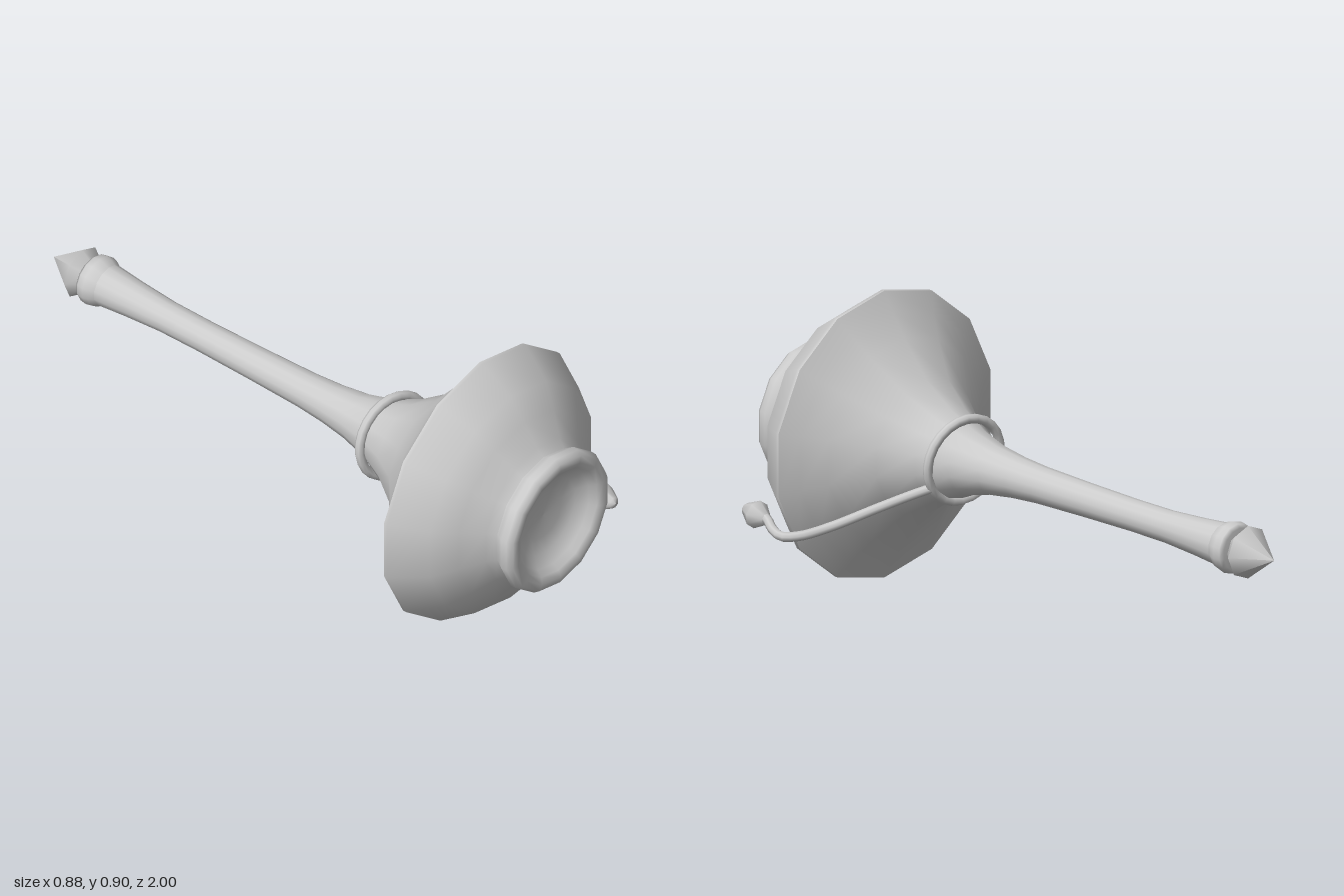
import * as THREE from 'three';

const AXIS_Y = 0.455; // height of the bottle's axis
const material = new THREE.MeshStandardMaterial({ color: 0xcccccc, side: THREE.DoubleSide });

// Revolves a [radius, z] profile, listed from front to back, about the z axis
function spin(name, profile, sides) {
  const points = profile.map(([r, z]) => new THREE.Vector2(r, -z));
  const geometry = new THREE.LatheGeometry(points, sides);
  geometry.rotateX(-Math.PI / 2);
  const mesh = new THREE.Mesh(geometry, material);
  mesh.name = name;
  mesh.position.y = AXIS_Y;
  return mesh;
}

function cord(name, points, closed, segments, radius) {
  const curve = new THREE.CatmullRomCurve3(points, closed);
  const mesh = new THREE.Mesh(new THREE.TubeGeometry(curve, segments, radius, 8, closed), material);
  mesh.name = name;
  return mesh;
}

export function createModel() {
  const model = new THREE.Group();
  model.name = 'bottle';

  // Foot with a hollow underside, rising to the widest edge
  model.add(spin('foot', [
    [0, 0.93], [0.08, 0.932], [0.13, 0.945], [0.165, 0.97], [0.18, 0.99], [0.2, 1],
    [0.222, 0.997], [0.234, 0.98], [0.235, 0.96], [0.222, 0.94], [0.217, 0.93],
  ], 14));
  model.add(spin('lowerBody', [
    [0.217, 0.93], [0.24, 0.905], [0.31, 0.855], [0.38, 0.8], [0.452, 0.692], [0.452, 0.68],
  ], 14));

  // Shoulder sweeping into the long neck and its lip
  model.add(spin('shoulderAndNeck', [
    [0.452, 0.68], [0.392, 0.645], [0.322, 0.595], [0.213, 0.5], [0.147, 0.4], [0.103, 0.3],
    [0.077, 0.2], [0.064, 0.1], [0.057, 0], [0.052, -0.2], [0.049, -0.4], [0.05, -0.55],
    [0.058, -0.68], [0.067, -0.785],
  ], 14));
  model.add(spin('lip', [
    [0.067, -0.785], [0.077, -0.803], [0.081, -0.82], [0.078, -0.842], [0.068, -0.853], [0, -0.853],
  ], 14));

  // Pointed stopper
  model.add(spin('stopperBase', [[0.045, -0.845], [0.083, -0.887]], 8));
  model.add(spin('stopperTip', [[0.083, -0.887], [0, -1]], 8));

  // Tilted loop of cord around the neck
  const loop = [];
  for (let i = 0; i < 12; i++) {
    const a = (i / 12) * Math.PI * 2;
    const x = 0.131 * Math.cos(a), y = 0.131 * Math.sin(a);
    loop.push(new THREE.Vector3(x, AXIS_Y + y, 0.338 + 0.15 * x - 0.1 * y));
  }
  model.add(cord('neckCord', loop, true, 24, 0.015));

  // Loose end of the cord, running down over the shoulder
  const tail = [
    [0.11, 0.385, 0.362], [0.145, 0.355, 0.42], [0.2, 0.31, 0.5], [0.3, 0.25, 0.6],
    [0.385, 0.23, 0.645], [0.422, 0.227, 0.685], [0.412, 0.235, 0.735], [0.385, 0.25, 0.79], [0.38, 0.25, 0.83],
  ].map((p) => new THREE.Vector3(...p));
  model.add(cord('cordTail', tail, false, 32, 0.015));

  // Pointed bead on the cord end
  const bead = new THREE.Group();
  bead.name = 'bead';
  bead.add(spin('beadTip', [[0, 0.06], [0.018, 0.052], [0.044, 0]], 8));
  bead.add(spin('beadBack', [[0.044, 0], [0.018, -0.045], [0, -0.045]], 8));
  bead.children.forEach((part) => { part.position.y = 0; });
  bead.position.set(0.38, 0.251, 0.836);
  bead.rotation.set(-0.1, -0.1, 0.2);
  model.add(bead);

  return model;
}
